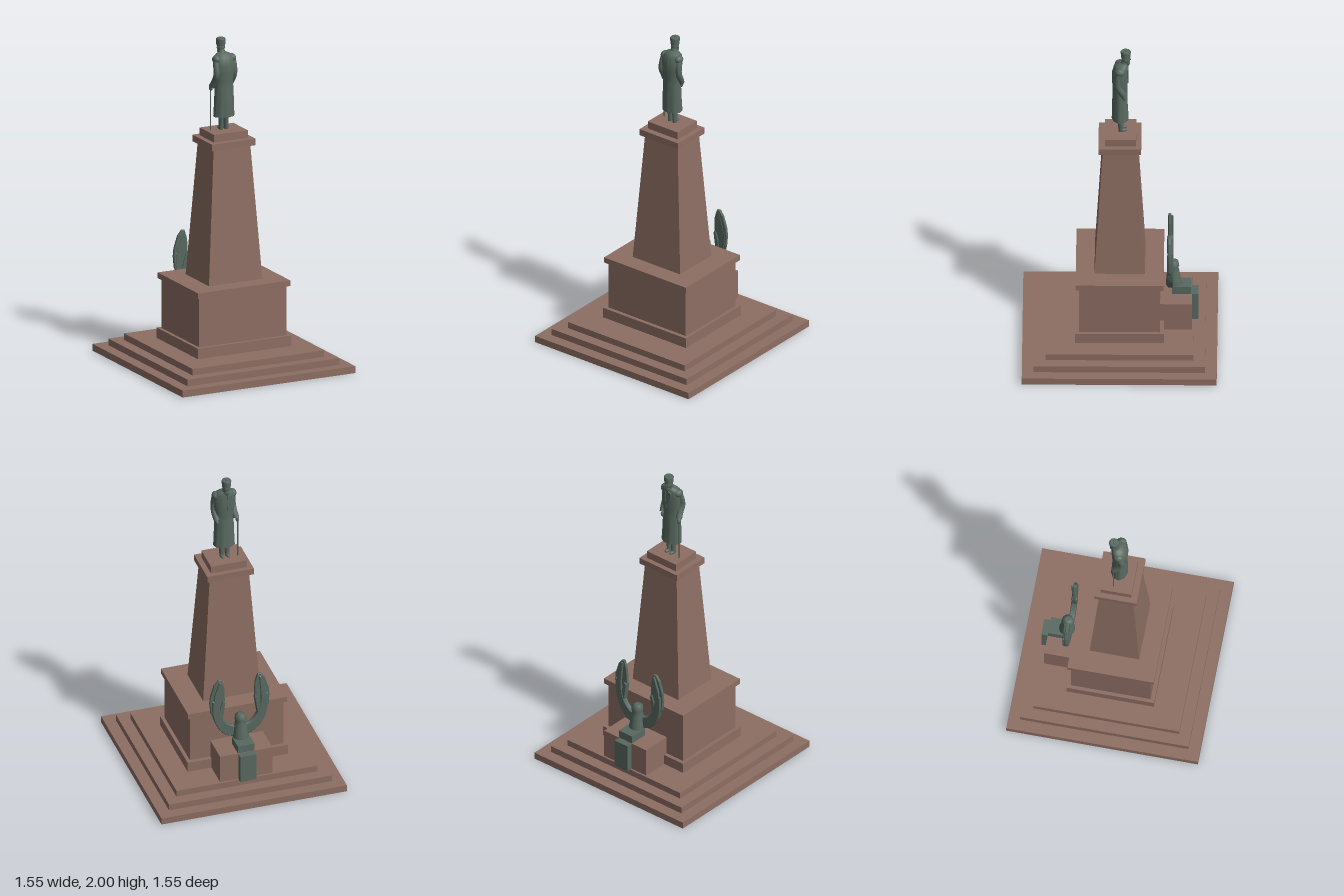
import * as THREE from 'three';

const stone = new THREE.MeshStandardMaterial({ color: 0x8d6e63 });
stone.name = 'brown stone';
const bronze = new THREE.MeshStandardMaterial({ color: 0x586960 });
bronze.name = 'green bronze';

function add(parent, name, geometry, material) {
  const mesh = new THREE.Mesh(geometry, material);
  mesh.name = name;
  parent.add(mesh);
  return mesh;
}

// Box between two heights, optionally tapering to a smaller top
function block(parent, name, hx, hz, y0, y1, topX = hx, topZ = hz, material = stone) {
  const g = new THREE.BoxGeometry(2, y1 - y0, 2);
  const p = g.attributes.position;
  for (let i = 0; i < p.count; i++) {
    const top = p.getY(i) > 0;
    p.setX(i, p.getX(i) * (top ? topX : hx));
    p.setZ(i, p.getZ(i) * (top ? topZ : hz));
  }
  g.translate(0, (y0 + y1) / 2, 0);
  g.computeVertexNormals();
  return add(parent, name, g, material);
}

// Smooth body through elliptical sections [y, cx, cz, rx, rz], top first
function loft(parent, name, sections, folds = 0, sides = 28) {
  const rows = sections.length - 1;
  const g = new THREE.CylinderGeometry(1, 1, 1, sides, rows);
  const p = g.attributes.position;
  for (let i = 0; i < p.count; i++) {
    const r = Math.round((0.5 - p.getY(i)) * rows);
    const [y, cx, cz, rx, rz] = sections[r];
    const x = p.getX(i), z = p.getZ(i);
    const k = 1 + folds * (r / rows) * Math.cos(9 * Math.atan2(x, z));
    p.setXYZ(i, cx + x * rx * k, y, cz + z * rz * k);
  }
  g.computeVertexNormals();
  return add(parent, name, g, bronze);
}

function ball(parent, name, x, y, z, rx, ry, rz) {
  const m = add(parent, name, new THREE.SphereGeometry(1, 16, 12), bronze);
  m.position.set(x, y, z);
  m.scale.set(rx, ry, rz);
  return m;
}

function limb(parent, name, points, radius) {
  const curve = new THREE.CatmullRomCurve3(points.map(p => new THREE.Vector3(...p)));
  return add(parent, name, new THREE.TubeGeometry(curve, 14, radius, 12), bronze);
}

// Outline extruded to a given depth, centred on z
function plate(parent, name, shape, depth, z, bevel = 0) {
  const g = new THREE.ExtrudeGeometry(shape, {
    depth, curveSegments: 8, bevelEnabled: bevel > 0, bevelSize: bevel,
    bevelThickness: bevel, bevelOffset: -bevel, bevelSegments: 1
  });
  g.translate(0, 0, z - depth / 2);
  return add(parent, name, g, bronze);
}

function makePedestal() {
  const g = new THREE.Group();
  g.name = 'pedestal';
  block(g, 'lowerStep', 0.579, 0.579, 0, 0.042);
  block(g, 'middleStep', 0.509, 0.509, 0.042, 0.083);
  block(g, 'upperStep', 0.44, 0.44, 0.083, 0.123);
  block(g, 'plinthFoot', 0.313, 0.264, 0.123, 0.187);
  block(g, 'plinthBody', 0.292, 0.24, 0.187, 0.493);
  block(g, 'plinthCornice', 0.309, 0.261, 0.493, 0.527);
  block(g, 'shaft', 0.179, 0.15, 0.527, 1.35, 0.123, 0.102);
  block(g, 'capital', 0.146, 0.127, 1.35, 1.39);
  block(g, 'statueBase', 0.113, 0.093, 1.39, 1.437).position.z = -0.004;
  block(g, 'anchorBlock', 0.164, 0.095, 0.123, 0.302).position.z = -0.333;
  return g;
}

function makeAnchor() {
  const g = new THREE.Group();
  g.name = 'anchor';
  // Shank: a slab on the block and a strip down its face
  block(g, 'shankTop', 0.052, 0.058, 0.3, 0.35, 0.052, 0.058, bronze).position.z = -0.367;
  block(g, 'shankStrip', 0.05, 0.02, 0.123, 0.3, 0.05, 0.02, bronze).position.z = -0.446;
  // Crown
  loft(g, 'crown', [
    [0.508, 0, -0.316, 0.016, 0.016], [0.5, 0, -0.316, 0.032, 0.032],
    [0.472, 0, -0.316, 0.036, 0.036], [0.462, 0, -0.316, 0.03, 0.03],
    [0.44, 0, -0.316, 0.036, 0.036], [0.39, 0, -0.318, 0.042, 0.042],
    [0.36, 0, -0.32, 0.047, 0.047], [0.34, 0, -0.32, 0.047, 0.047]
  ]);
  for (const s of [-1, 1]) {
    const v = pts => pts.map(([x, y]) => new THREE.Vector2(s * x, y));
    // Curved arm
    const arm = new THREE.Shape();
    arm.moveTo(0, 0.35);
    arm.splineThru(v([[0.05, 0.355], [0.1, 0.38], [0.145, 0.44], [0.17, 0.52], [0.174, 0.62]]));
    arm.lineTo(s * 0.13, 0.62);
    arm.splineThru(v([[0.125, 0.54], [0.1, 0.475], [0.06, 0.435], [0, 0.42]]));
    plate(g, 'arm', arm, 0.024, -0.3, 0.004);
    // Broad fluke with a blunt tip
    const fluke = new THREE.Shape(v([
      [0.113, 0.757], [0.132, 0.757], [0.158, 0.725], [0.182, 0.65], [0.187, 0.6],
      [0.18, 0.53], [0.165, 0.5], [0.12, 0.5], [0.1, 0.54], [0.092, 0.6], [0.096, 0.7]
    ]));
    plate(g, 'fluke', fluke, 0.012, -0.295, 0.003);
    // Raised rib on the fluke and inner barb
    const rib = new THREE.Shape(v([[0.118, 0.745], [0.13, 0.745], [0.162, 0.65], [0.168, 0.54], [0.135, 0.54], [0.128, 0.64]]));
    plate(g, 'flukeRib', rib, 0.026, -0.3, 0.003);
    const barb = new THREE.Shape(v([[0.135, 0.5], [0.125, 0.56], [0.108, 0.612], [0.092, 0.6], [0.1, 0.54], [0.11, 0.48]]));
    plate(g, 'barb', barb, 0.028, -0.296, 0.003);
  }
  return g;
}

function makeStatue() {
  const g = new THREE.Group();
  g.name = 'statue';
  // Coat skirt and torso
  loft(g, 'coatSkirt', [
    [1.735, 0, 0, 0.056, 0.042], [1.68, 0, 0, 0.059, 0.045],
    [1.6, 0, 0, 0.062, 0.047], [1.52, 0, -0.002, 0.065, 0.05]
  ], 0.025, 54);
  loft(g, 'torso', [
    [1.91, -0.003, -0.02, 0.022, 0.022], [1.9, 0, -0.012, 0.046, 0.034],
    [1.885, 0, -0.005, 0.064, 0.042], [1.84, 0, 0, 0.068, 0.049],
    [1.79, 0, 0, 0.064, 0.048], [1.74, 0, 0, 0.057, 0.044],
    [1.715, 0, 0, 0.058, 0.044]
  ]);
  // Arms and hands, held close to the coat
  limb(g, 'leftArm', [[-0.054, 1.875, 0], [-0.059, 1.83, 0.016], [-0.061, 1.785, 0.022], [-0.063, 1.74, 0], [-0.07, 1.705, -0.02]], 0.019);
  limb(g, 'rightArm', [[0.054, 1.875, 0], [0.059, 1.83, 0.012], [0.061, 1.78, 0.012], [0.059, 1.74, -0.006], [0.052, 1.71, -0.024]], 0.019);
  for (const s of [-1, 1]) {
    ball(g, 'shoulder', s * 0.052, 1.873, 0, 0.024, 0.025, 0.03);
    ball(g, 'hand', s < 0 ? -0.075 : 0.051, 1.695, -0.025, 0.011, 0.018, 0.013);
    // Legs and shoes
    loft(g, 'leg', [[1.54, s * 0.017, -0.004, 0.016, 0.018], [1.437, s * 0.017, -0.006, 0.013, 0.015]], 0, 16);
    ball(g, 'shoe', s * 0.018, 1.446, -0.017, 0.013, 0.011, 0.026);
    // Lapels
    const lapel = new THREE.Shape([[0.008, 1.895], [0.035, 1.88], [0.025, 1.83], [0.003, 1.77]].map(([x, y]) => new THREE.Vector2(s * x, y)));
    plate(g, 'lapel', lapel, 0.009, -0.047);
  }
  // Walking stick
  const stick = add(g, 'walkingStick', new THREE.CylinderGeometry(0.004, 0.004, 0.263, 8), bronze);
  stick.position.set(-0.077, 1.568, -0.025);
  // Head, beard and cap
  loft(g, 'neck', [[1.93, -0.004, -0.03, 0.018, 0.019], [1.89, -0.003, -0.02, 0.024, 0.024]]);
  ball(g, 'head', -0.004, 1.937, -0.034, 0.023, 0.032, 0.026);
  ball(g, 'beard', -0.004, 1.911, -0.048, 0.016, 0.02, 0.012);
  ball(g, 'nose', -0.004, 1.935, -0.06, 0.004, 0.008, 0.005);
  for (const s of [-1, 1]) ball(g, 'ear', -0.004 + s * 0.023, 1.935, -0.032, 0.004, 0.008, 0.006);
  loft(g, 'cap', [
    [1.992, -0.004, -0.034, 0.026, 0.027], [1.986, -0.004, -0.034, 0.029, 0.031],
    [1.948, -0.004, -0.034, 0.026, 0.027]
  ]);
  ball(g, 'capButton', -0.004, 1.993, -0.034, 0.006, 0.007, 0.006);
  return g;
}

export function createModel() {
  const model = new THREE.Group();
  model.name = 'monument';
  model.add(makePedestal(), makeAnchor(), makeStatue());
  model.rotation.y = 0.4525;
  return model;
}
